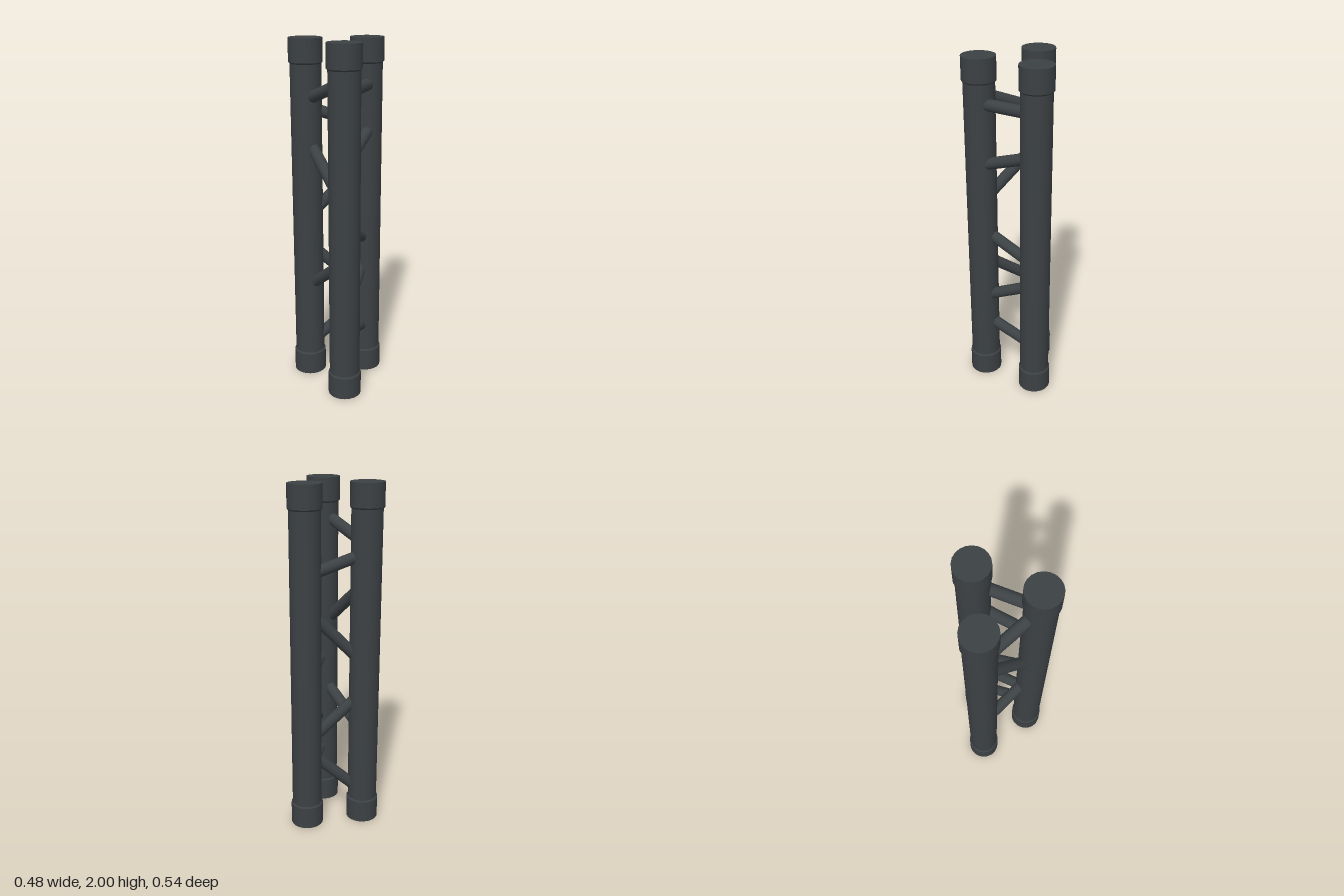
import * as THREE from 'three';

const slate = new THREE.MeshStandardMaterial({ color: 0x3c4144 });
slate.name = 'dark slate';

// Pipe centres on the ground plane [x, z]
const pipes = { back: [-0.148, -0.178], front: [-0.148, 0.176], left: [0.147, -0.012] };

// Braces: from pipe, to pipe, height at each end, outward shift at each end
const braces = [
  ['front', 'left', 1.75, 1.75, 0.026, 0.026],
  ['front', 'left', 1.395, 1.51, 0.026, 0.024],
  ['front', 'left', 0.99, 0.84, 0, 0],
  ['front', 'left', 0.54, 0.7, 0.018, -0.015],
  ['front', 'left', 0.385, 0.275, 0, 0],
  ['left', 'back', 1.51, 1.625, 0.01, 0.014],
  ['left', 'back', 1.33, 0.98, 0, 0],
  ['left', 'back', 0.51, 0.82, -0.005, 0],
  ['left', 'back', 0.47, 0.16, 0, 0],
  ['back', 'front', 1.66, 1.8, 0.006, 0],
  ['back', 'front', 1.46, 1.15, 0, 0.01],
  ['back', 'front', 0.55, 0.81, 0, -0.01],
];

function cylinder(name, rTop, rBottom, height, y, open = false) {
  const mesh = new THREE.Mesh(new THREE.CylinderGeometry(rTop, rBottom, height, 20, 1, open), slate);
  mesh.name = name;
  mesh.position.y = y;
  return mesh;
}

// One upright pipe with a slightly wider collar at each end
function makePipe(name, [x, z]) {
  const pipe = new THREE.Group();
  pipe.name = name;
  pipe.add(
    cylinder('tube', 0.0865, 0.0865, 1.8, 1, true),
    cylinder('bottomCollar', 0.094, 0.094, 0.13, 0.065),
    cylinder('bottomCollarBevel', 0.0865, 0.094, 0.008, 0.134, true),
    cylinder('topCollar', 0.094, 0.094, 0.13, 1.935),
    cylinder('topCollarBevel', 0.094, 0.0865, 0.008, 1.866, true),
  );
  pipe.position.set(x, 0, z);
  return pipe;
}

// Round bar between two pipes, its ends buried inside them
function makeBrace([from, to, y0, y1, out0, out1]) {
  const a = new THREE.Vector3(pipes[from][0], y0, pipes[from][1]);
  const b = new THREE.Vector3(pipes[to][0], y1, pipes[to][1]);
  const outward = new THREE.Vector3(a.z - b.z, 0, b.x - a.x).normalize();
  a.addScaledVector(outward, out0);
  b.addScaledVector(outward, out1);
  const p = a.clone().lerp(b, 0.1);
  const q = a.clone().lerp(b, 0.9);
  const dir = q.clone().sub(p);
  const mesh = new THREE.Mesh(new THREE.CylinderGeometry(0.033, 0.033, dir.length(), 14), slate);
  mesh.name = `${from}To${to[0].toUpperCase()}${to.slice(1)}Brace`;
  mesh.position.copy(p).add(q).multiplyScalar(0.5);
  mesh.quaternion.setFromUnitVectors(new THREE.Vector3(0, 1, 0), dir.normalize());
  return mesh;
}

export function createModel() {
  const model = new THREE.Group();
  model.name = 'bracedPipeColumn';
  for (const [name, centre] of Object.entries(pipes)) model.add(makePipe(`${name}Pipe`, centre));
  for (const brace of braces) model.add(makeBrace(brace));
  return model;
}
